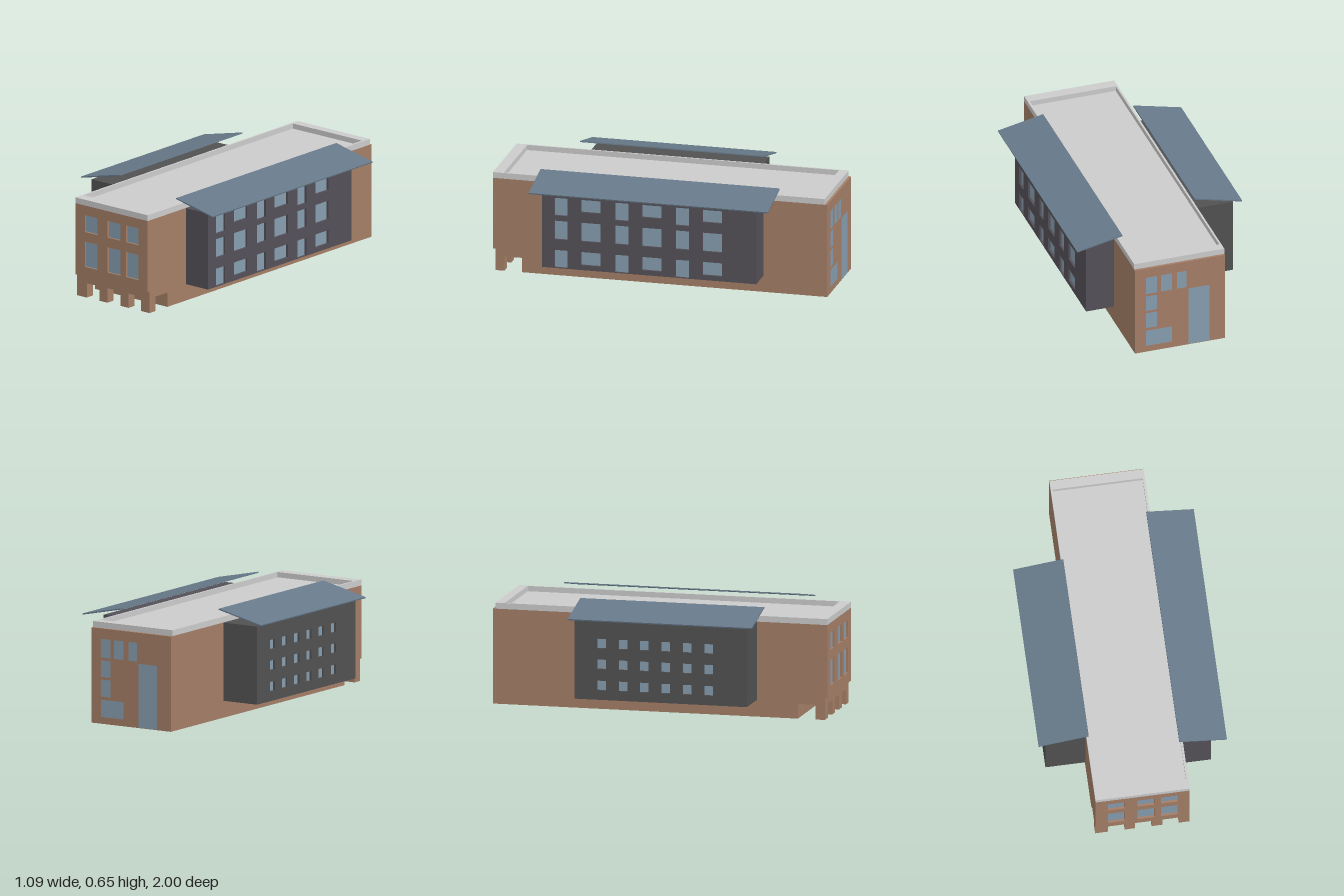
import * as THREE from 'three';

const paint = (color) => new THREE.MeshStandardMaterial({ color, flatShading: true });
const brick = paint(0xa47e66), glass = paint(0x869daf), metal = paint(0x67798a);
const stone = paint(0xc8c8c4), darkRight = paint(0x545058), darkLeft = paint(0x505150);

// Main block extents
const X0 = -0.265, X1 = 0.285, MID = (X0 + X1) / 2, W = X1 - X0;
const EAVES = 0.56, DEPTH = 0.015;

function add(parent, name, geometry, material) {
  const mesh = new THREE.Mesh(geometry, material);
  mesh.name = name;
  parent.add(mesh);
  return mesh;
}

// Box given by its ranges on each axis
function block(parent, name, [x0, x1], [y0, y1], [z0, z1], material) {
  const mesh = add(parent, name, new THREE.BoxGeometry(x1 - x0, y1 - y0, z1 - z0), material);
  mesh.position.set((x0 + x1) / 2, (y0 + y1) / 2, (z0 + z1) / 2);
  return mesh;
}

const rect = (C, [u0, u1], [v0, v1]) => new C([[u0, v0], [u1, v0], [u1, v1], [u0, v1]]
  .map(([u, v]) => new THREE.Vector2(u, v)));

// Wall with recessed windows, facing local +z; each window is [uRange, vRange]
function windowWall(name, u, v, windows, material) {
  const group = new THREE.Group();
  group.name = name;
  const shape = rect(THREE.Shape, u, v);
  for (const [wu, wv] of windows) {
    shape.holes.push(rect(THREE.Path, wu, wv));
    const pane = add(group, 'windowPane', new THREE.PlaneGeometry(wu[1] - wu[0], wv[1] - wv[0]), glass);
    pane.position.set((wu[0] + wu[1]) / 2, (wv[0] + wv[1]) / 2, 0.002);
  }
  add(group, 'wall', new THREE.ExtrudeGeometry(shape, { depth: DEPTH, bevelEnabled: false }), material);
  return group;
}

// Thin tilted roof between two points of the front elevation
function slantedRoof(parent, name, [xa, ya], [xb, yb], [z0, z1]) {
  const length = Math.hypot(xb - xa, yb - ya);
  const roof = add(parent, name, new THREE.BoxGeometry(length, 0.007, z1 - z0), metal);
  roof.position.set((xa + xb) / 2, (ya + yb) / 2, (z0 + z1) / 2);
  roof.rotation.z = Math.atan2(yb - ya, xb - xa);
}

export function createModel() {
  const model = new THREE.Group();
  model.name = 'building';

  // Main block: side profile with the arcade passage cut out, extruded across x
  const profile = new THREE.Shape([[1, 0], [1, EAVES], [-0.985, EAVES], [-0.985, 0.087], [-0.824, 0.087], [-0.824, 0]]
    .map(([u, y]) => new THREE.Vector2(u, y)));
  const body = add(model, 'mainBlock', new THREE.ExtrudeGeometry(profile, { depth: W, bevelEnabled: false }), brick);
  body.rotation.y = Math.PI / 2;
  body.position.x = X0;

  // Arcade pillars
  for (const x of [[X0, -0.19], [-0.093, -0.033], [0.064, 0.127], [0.223, X1]])
    block(model, 'arcadePillar', x, [0, 0.087], [0.93, 0.985], brick);

  // Front wall
  const frontWindows = [];
  for (const u of [[-0.193, -0.096], [-0.02, 0.079], [0.119, 0.215]])
    for (const v of [[0.4, 0.502], [0.189, 0.342]]) frontWindows.push([u, v]);
  const front = windowWall('frontWall', [X0, X1], [0.13, EAVES], frontWindows, brick);
  front.position.z = 0.985;
  model.add(front);

  // Flush glazing at the back: top row, stair column, wide window, tall door
  const backPanes = [
    [[0.153, 0.219], [0.39, 0.5]], [[0.061, 0.127], [0.39, 0.5]], [[-0.03, 0.028], [0.39, 0.5]],
    [[0.153, 0.219], [0.276, 0.373]], [[0.153, 0.219], [0.16, 0.26]],
    [[0.061, 0.219], [0.04, 0.142]], [[-0.17, -0.04], [0.003, 0.378]],
  ];
  for (const [[x0, x1], [y0, y1]] of backPanes) {
    const pane = add(model, 'backPane', new THREE.PlaneGeometry(x1 - x0, y1 - y0), glass);
    pane.position.set((x0 + x1) / 2, (y0 + y1) / 2, -1.0015);
    pane.rotation.y = Math.PI;
  }

  // Flat roof with a parapet
  const rim = rect(THREE.Shape, [X0, X1], [-1, 0.985]);
  rim.holes.push(rect(THREE.Path, [-0.253, 0.272], [-0.935, 0.93]));
  const parapet = add(model, 'parapet', new THREE.ExtrudeGeometry(rim, { depth: 0.035, bevelEnabled: false }), stone);
  parapet.rotation.x = -Math.PI / 2;
  parapet.position.y = EAVES;
  block(model, 'roofDeck', [-0.255, 0.274], [EAVES - 0.005, EAVES + 0.004], [-0.94, 0.94], stone);

  // Wing on +x: alternating narrow and wide windows
  block(model, 'leftWing', [X1 - 0.01, 0.455 - DEPTH], [0.1, EAVES], [-0.62, 0.66], darkRight);
  const narrow = [[0.42, 0.527], [0.275, 0.388], [0.104, 0.21]];
  const wide = [[0.452, 0.527], [0.275, 0.388], [0.13, 0.21]];
  const wingWindows = [];
  for (let i = 0; i < 3; i++) {
    const u = -0.588 + i * 0.363;
    for (const v of narrow) wingWindows.push([[u, u + 0.08], v]);
    for (const v of wide) wingWindows.push([[u + 0.16, u + 0.277], v]);
  }
  const leftWall = windowWall('leftWingWall', [-0.66, 0.62], [0.1, EAVES], wingWindows, darkRight);
  leftWall.rotation.y = Math.PI / 2;
  leftWall.position.x = 0.455 - DEPTH;
  model.add(leftWall);
  slantedRoof(model, 'leftWingRoof', [0.263, 0.627], [0.54, 0.569], [-0.71, 0.72]);

  // Wing on -x: a regular grid of small windows
  block(model, 'rightWing', [-0.5 + DEPTH, X0 + 0.01], [0.1, EAVES], [-0.45, 0.58], darkLeft);
  const smallWindows = [];
  for (let i = 0; i < 6; i++)
    for (const y of [0.185, 0.31, 0.432]) {
      const z = -0.29 + i * 0.128;
      smallWindows.push([[z - 0.027, z + 0.027], [y - 0.028, y + 0.028]]);
    }
  const rightWall = windowWall('rightWingWall', [-0.45, 0.58], [0.1, EAVES], smallWindows, darkLeft);
  rightWall.rotation.y = -Math.PI / 2;
  rightWall.position.x = -0.5 + DEPTH;
  model.add(rightWall);
  slantedRoof(model, 'rightWingRoof', [-0.545, 0.573], [-0.253, 0.642], [-0.48, 0.62]);

  return model;
}
